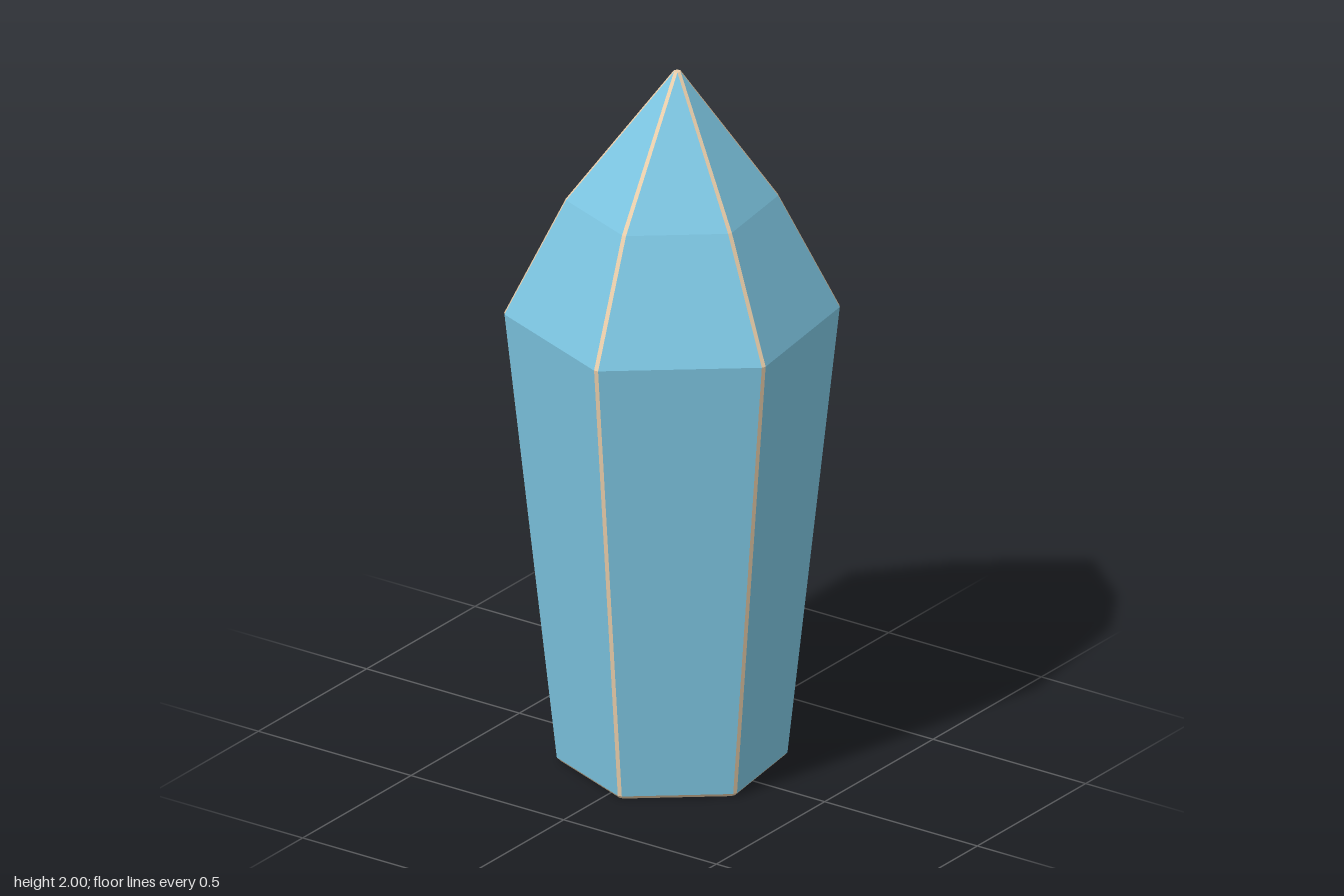
import * as THREE from 'three';

const SIDES = 6;
const TURN = -0.148; // rotation of the first corner around y
const BEVEL = 0.007; // how far each corner is cut back along the sides

// Hexagon with cut corners: two points per corner, in order of rising angle
function ring(radius, y, cx = 0) {
  const corner = (i) => {
    const a = TURN + (i * Math.PI * 2) / SIDES;
    return new THREE.Vector3(cx + radius * Math.cos(a), y, radius * Math.sin(a));
  };
  const cut = Math.min(BEVEL / radius, 0.5);
  const points = [];
  for (let i = 0; i < SIDES; i++) {
    points.push(corner(i).lerp(corner(i - 1), cut), corner(i).lerp(corner(i + 1), cut));
  }
  return points;
}

function makeMesh(name, triangles, material) {
  const geometry = new THREE.BufferGeometry().setFromPoints(triangles);
  geometry.computeVertexNormals();
  const mesh = new THREE.Mesh(geometry, material);
  mesh.name = name;
  return mesh;
}

export function createModel() {
  const group = new THREE.Group();
  group.name = 'crystal';
  const blue = new THREE.MeshStandardMaterial({ color: 0x7cc4e0, flatShading: true });
  const tan = new THREE.MeshStandardMaterial({ color: 0xe8cdaa, flatShading: true });

  // Cross-sections from the base to the slightly off-centre tip
  const rings = [
    ring(0.302, 0),
    ring(0.312, 0.01),
    ring(0.452, 1.31),
    ring(0.287, 1.64),
    ring(0.012, 2, 0.024),
  ];
  const facets = [];
  const edges = [];
  const base = [];
  const count = SIDES * 2;

  // Walls: wide facets between narrow bevelled edges; the lowest band is the bottom rim
  for (let r = 0; r < rings.length - 1; r++) {
    const low = rings[r];
    const high = rings[r + 1];
    for (let k = 0; k < count; k++) {
      const n = (k + 1) % count;
      const target = r === 0 || k % 2 === 0 ? edges : facets;
      target.push(low[k], high[k], low[n], low[n], high[k], high[n]);
    }
  }

  // Base and tip caps
  const bottom = rings[0];
  const top = rings[rings.length - 1];
  const bottomCentre = new THREE.Vector3(0, 0, 0);
  const topCentre = new THREE.Vector3(0.024, 2, 0);
  for (let k = 0; k < count; k++) {
    const n = (k + 1) % count;
    base.push(bottomCentre, bottom[k], bottom[n]);
    if (k % 2 === 0) edges.push(topCentre, top[n], top[k]);
  }

  group.add(
    makeMesh('crystalFacets', facets, blue),
    makeMesh('crystalBase', base, blue),
    makeMesh('bevelledEdges', edges, tan)
  );
  return group;
}
